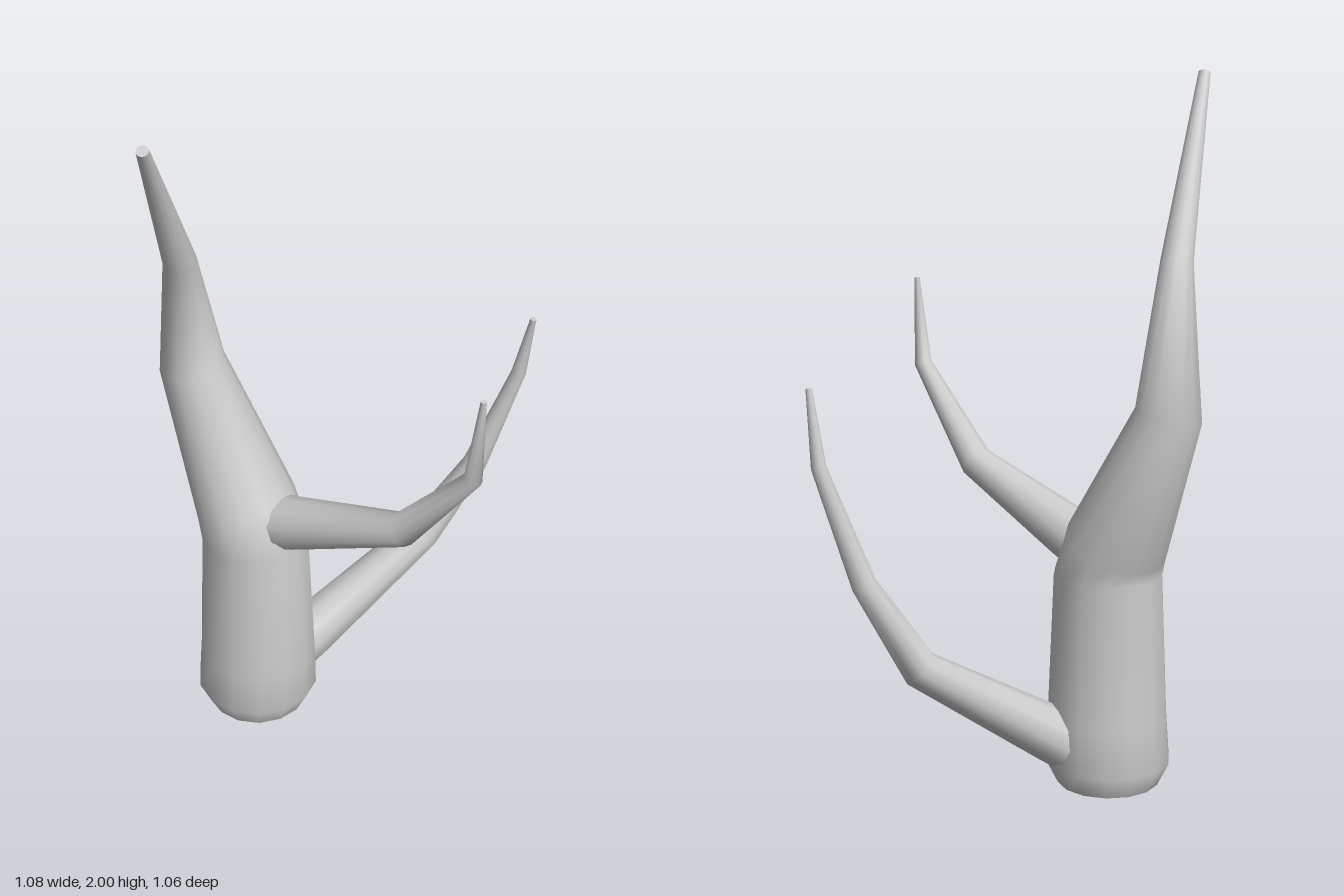
import * as THREE from 'three';

const material = new THREE.MeshStandardMaterial({ color: 0xcccccc });

// Tapered limb lofted through rings [x, y, z, radius]; rings tilt to halve each bend.
// The first `flat` rings stay horizontal.
function limb(name, rings, sides, flat = 0) {
  const centres = rings.map(([x, y, z]) => new THREE.Vector3(x, y, z));
  const last = rings.length - 1;
  const positions = [];
  const index = [];
  const loops = rings.map((ring, i) => {
    const normal = new THREE.Vector3(0, 1, 0);
    if (i >= flat) {
      normal.set(0, 0, 0);
      if (i > 0) normal.add(centres[i].clone().sub(centres[i - 1]).normalize());
      if (i < last) normal.add(centres[i + 1].clone().sub(centres[i]).normalize());
      normal.normalize();
    }
    const turn = new THREE.Quaternion().setFromUnitVectors(new THREE.Vector3(0, 1, 0), normal);
    return Array.from({ length: sides }, (_, k) => {
      const a = (k / sides) * Math.PI * 2;
      return new THREE.Vector3(Math.cos(a), 0, -Math.sin(a))
        .multiplyScalar(ring[3]).applyQuaternion(turn).add(centres[i]);
    });
  });

  // Smooth side wall
  loops.forEach((loop) => loop.forEach((p) => positions.push(p.x, p.y, p.z)));
  for (let i = 0; i < last; i++) {
    for (let k = 0; k < sides; k++) {
      const a = i * sides + k;
      const b = i * sides + ((k + 1) % sides);
      index.push(a, b, b + sides, a, b + sides, a + sides);
    }
  }

  // Flat end caps with their own vertices
  for (const end of [0, last]) {
    const start = positions.length / 3;
    [centres[end], ...loops[end]].forEach((p) => positions.push(p.x, p.y, p.z));
    for (let k = 0; k < sides; k++) {
      const a = start + 1 + k;
      const b = start + 1 + ((k + 1) % sides);
      if (end === 0) index.push(start, b, a);
      else index.push(start, a, b);
    }
  }

  const geometry = new THREE.BufferGeometry();
  geometry.setAttribute('position', new THREE.Float32BufferAttribute(positions, 3));
  geometry.setIndex(index);
  geometry.computeVertexNormals();
  const mesh = new THREE.Mesh(geometry, material);
  mesh.name = name;
  return mesh;
}

export function createModel() {
  const group = new THREE.Group();
  group.name = 'branchingStump';

  // Stump with a bevelled foot, running on into the tall main limb
  group.add(limb('trunk', [
    [-0.23, 0, 0.175, 0.145],
    [-0.23, 0.065, 0.175, 0.178],
    [-0.225, 0.2, 0.175, 0.172],
    [-0.225, 0.62, 0.173, 0.155],
    [-0.255, 0.71, 0.172, 0.146],
    [-0.45, 1.11, 0.152, 0.094],
    [-0.39, 1.51, 0.252, 0.046],
    [-0.265, 1.995, 0.515, 0.017],
  ], 14, 4));

  // Limb reaching out to the left
  group.add(limb('sideBranch', [
    [-0.24, 0.66, 0.17, 0.09],
    [-0.08, 0.71, 0.17, 0.076],
    [0.285, 0.855, 0.17, 0.049],
    [0.502, 1.12, 0.17, 0.026],
    [0.525, 1.375, 0.17, 0.008],
  ], 10));

  // Low limb reaching backwards
  group.add(limb('backBranch', [
    [-0.2, 0.1, 0.11, 0.085],
    [-0.15, 0.165, 0.015, 0.08],
    [0.02, 0.405, -0.333, 0.055],
    [0.13, 0.643, -0.433, 0.037],
    [0.225, 0.97, -0.505, 0.022],
    [0.272, 1.18, -0.493, 0.009],
  ], 10));

  return group;
}
